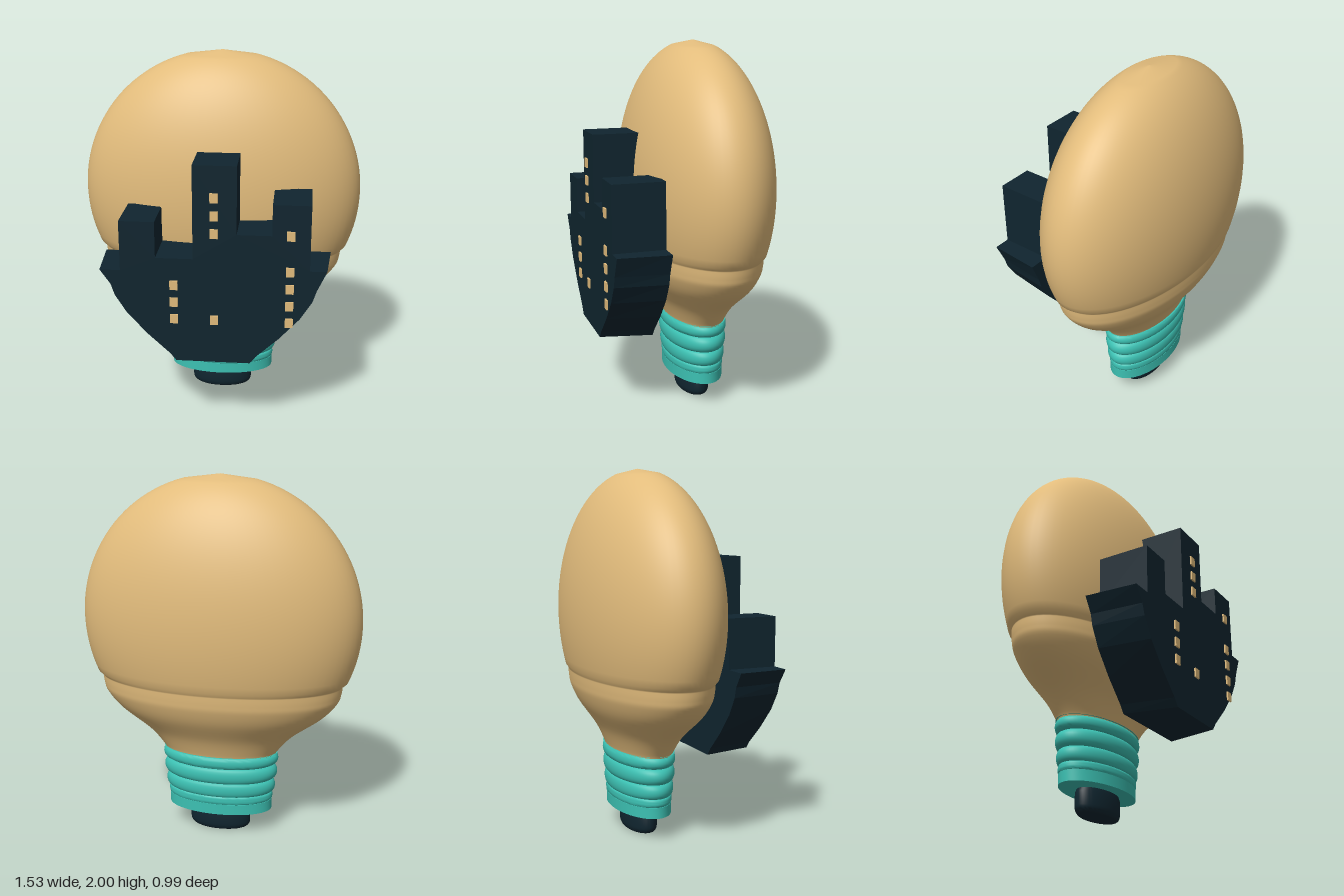
import * as THREE from 'three';
import { toCreasedNormals } from 'three/addons/utils/BufferGeometryUtils.js';

const material = (name, color) => {
  const m = new THREE.MeshStandardMaterial({ color });
  m.name = name;
  return m;
};

export function createModel() {
  const model = new THREE.Group();
  model.name = 'cityLightBulb';
  const amber = material('amber', 0xe2bc7c);
  const teal = material('teal', 0x3cc0b2);
  const navy = material('navy', 0x10252f);

  const add = (name, geometry, mat, parent = model) => {
    const mesh = new THREE.Mesh(geometry, mat);
    mesh.name = name;
    parent.add(mesh);
    return mesh;
  };

  // Turned part squashed front to back around the bulb axis
  const turned = (points, depth) => {
    const g = new THREE.LatheGeometry(points, 72);
    g.scale(1, 1, depth);
    g.translate(0, 0, -0.113);
    return g;
  };
  const v = (x, y) => new THREE.Vector2(x, y);

  // Glass: curved neck, small shoulder ridge, elliptical dome
  const neck = [v(0.31, 0.45), v(0.33, 0.49), v(0.415, 0.585), v(0.575, 0.705), v(0.65, 0.79), v(0.668, 0.84), v(0.675, 0.89)];
  const glass = new THREE.SplineCurve(neck).getPoints(30);
  const start = Math.asin((0.91 - 1.225) / 0.775);
  for (let i = 0; i <= 32; i++) {
    const a = start + (1.31 - start) * (i / 32);
    glass.push(v(0.767 * Math.cos(a), 1.225 + 0.775 * Math.sin(a)));
  }
  glass.push(v(0, 2));
  add('glassBulb', turned(glass, 0.495), amber);

  // Screw base: straight collar with rounded threads above it
  const base = [v(0, 0.13), v(0.295, 0.13), v(0.295, 0.19)];
  for (const [y0, y1, inner, outer] of [
    [0.19, 0.235, 0.29, 0.3], [0.235, 0.315, 0.285, 0.314],
    [0.315, 0.405, 0.285, 0.325], [0.405, 0.475, 0.295, 0.33],
  ]) {
    for (let i = 0; i <= 10; i++) {
      const a = Math.PI * i / 10;
      base.push(v(inner + (outer - inner) * Math.sin(a), (y0 + y1) / 2 - (y1 - y0) / 2 * Math.cos(a)));
    }
  }
  base.push(v(0.325, 0.475), v(0, 0.475));
  add('screwBase', toCreasedNormals(turned(base, 0.515), 0.8), teal);

  // Rounded contact at the foot
  const contact = [v(0, 0)];
  for (let i = 0; i <= 6; i++) {
    const a = Math.PI / 2 * i / 6;
    contact.push(v(0.135 + 0.038 * Math.sin(a), 0.04 - 0.04 * Math.cos(a)));
  }
  contact.push(v(0.173, 0.11), v(0.16, 0.135), v(0, 0.135));
  add('footContact', toCreasedNormals(turned(contact, 0.5), 0.8), navy);

  // Skyline slab: stepped towers over a curved hull
  const hull = [[0.25, 0.44], [0.28, 0.48], [0.39, 0.59], [0.49, 0.71], [0.545, 0.81], [0.56, 0.87]];
  const towers = [
    [0.61, 0.98], [0.5, 0.98], [0.5, 1.33], [0.305, 1.33], [0.305, 1.165], [0.125, 1.165],
    [0.125, 1.525], [-0.1, 1.525], [-0.1, 1.025], [-0.295, 1.025], [-0.295, 1.22],
    [-0.48, 1.22], [-0.48, 0.95], [-0.61, 0.95],
  ];
  const left = hull.map(([x, y]) => [x + 0.005, y]);
  const right = hull.map(([x, y]) => [-x, y]).reverse();
  const outline = [...left, ...towers, ...right].map(([x, y]) => v(x, y));
  const slab = new THREE.ExtrudeGeometry(new THREE.Shape(outline), { depth: 0.28, bevelEnabled: false });
  slab.translate(0, 0, 0.198);
  // Draw the hull inward toward the front face
  const p = slab.attributes.position;
  for (let i = 0; i < p.count; i++) {
    const x = p.getX(i), y = p.getY(i);
    if (p.getZ(i) > 0.3 && (y < 0.94 || Math.abs(x) > 0.55)) {
      const inset = 0.022 + 0.035 * THREE.MathUtils.clamp((0.95 - y) / 0.5, 0, 1);
      p.setX(i, x - Math.sign(x) * inset);
    }
  }
  slab.computeVertexNormals();
  add('skyline', slab, navy);

  // Lit windows just in front of the skyline
  const windows = new THREE.Group();
  windows.name = 'windows';
  model.add(windows);
  const pane = new THREE.BoxGeometry(0.042, 0.05, 0.009);
  for (const [x, heights] of [
    [-0.2, [0.88, 0.785, 0.69]],
    [0.01, [1.36, 1.265, 1.17, 0.69]],
    [0.4, [1.17, 0.975, 0.88, 0.785, 0.69]],
  ]) {
    for (const y of heights) add('window', pane, amber, windows).position.set(x, y, 0.489);
  }
  return model;
}
